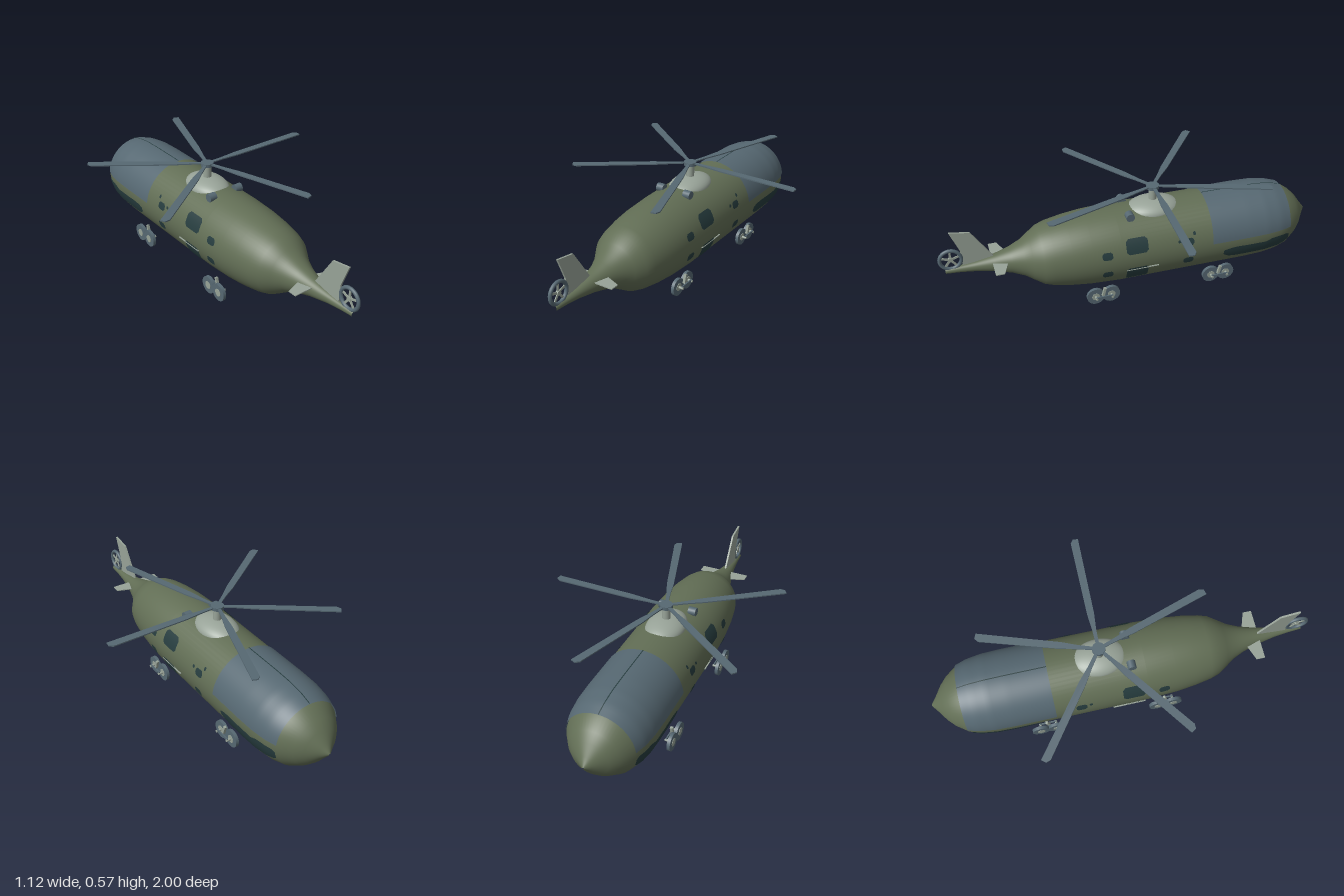
import * as THREE from 'three';

const mat = (name, color, side = THREE.FrontSide) =>
  Object.assign(new THREE.MeshStandardMaterial({ color, side }), { name });

// Fuselage profile: [z, radius] around the axis at height AXIS
const AXIS = 0.263;
const PROFILE = [
  [-1, 0.004], [-0.988, 0.02], [-0.97, 0.043], [-0.935, 0.093], [-0.9, 0.13], [-0.84, 0.173],
  [-0.78, 0.192], [-0.7, 0.203], [-0.6, 0.206], [0.1, 0.205], [0.25, 0.198], [0.35, 0.187],
  [0.44, 0.171], [0.49, 0.155], [0.54, 0.122], [0.58, 0.095], [0.64, 0.069], [0.72, 0.046],
  [0.82, 0.027], [0.9, 0.018], [0.97, 0.0135],
];

function radiusAt(z) {
  let i = 1;
  while (i < PROFILE.length - 1 && PROFILE[i][0] < z) i++;
  const [z0, r0] = PROFILE[i - 1], [z1, r1] = PROFILE[i];
  return r0 + (r1 - r0) * (z - z0) / (z1 - z0);
}

// Thin skin that follows the fuselage; angles(z) gives the start and end angle
function skin(z0, z1, columns, rows, offset, angles) {
  const pos = [], index = [];
  for (let i = 0; i <= columns; i++) {
    const z = z0 + (z1 - z0) * i / columns;
    const r = radiusAt(z) + offset;
    const [a0, a1] = angles(z, r);
    for (let j = 0; j <= rows; j++) {
      const a = a0 + (a1 - a0) * j / rows;
      pos.push(Math.cos(a) * r, AXIS + Math.sin(a) * r, z);
      if (i < columns && j < rows) {
        const k = i * (rows + 1) + j, n = k + rows + 1;
        index.push(k, k + 1, n, k + 1, n + 1, n);
      }
    }
  }
  const g = new THREE.BufferGeometry();
  g.setAttribute('position', new THREE.Float32BufferAttribute(pos, 3));
  g.setIndex(index);
  g.computeVertexNormals();
  return g;
}

// Side window from an outline of [z, bottom y, top y] stations
function windowSkin(stations, side) {
  const at = (z, k) => {
    let i = 1;
    while (i < stations.length - 1 && stations[i][0] < z) i++;
    const a = stations[i - 1], b = stations[i];
    return a[k] + (b[k] - a[k]) * (z - a[0]) / (b[0] - a[0]);
  };
  return skin(stations[0][0], stations.at(-1)[0], 24, 6, 0.004, (z, r) =>
    [1, 2].map((k) => {
      const a = Math.asin((at(z, k) - AXIS) / r);
      return side > 0 ? a : Math.PI - a;
    }));
}

// Pane with clipped corners
const pane = (z0, z1, y0, y1, c) =>
  [[z0, y0 + c, y1 - c], [z0 + c, y0, y1], [z1 - c, y0, y1], [z1, y0 + c, y1 - c]];

function plate(points, depth) {
  const shape = new THREE.Shape(points.map(([x, y]) => new THREE.Vector2(x, y)));
  return new THREE.ExtrudeGeometry(shape, { depth, bevelEnabled: false });
}

export function createModel() {
  const olive = mat('olive hull', 0x626e55);
  const slate = mat('slate metal', 0x566872);
  const slateSkin = mat('slate canopy', 0x566872, THREE.DoubleSide);
  const pale = mat('pale grey', 0x98a398);
  const glass = mat('dark glass', 0x263c3e, THREE.DoubleSide);

  const model = new THREE.Group();
  model.name = 'helicopter';
  const craft = new THREE.Group();
  craft.name = 'airframe';
  craft.position.x = -0.06;
  model.add(craft);

  const add = (name, geometry, material, x = 0, y = 0, z = 0, parent = craft) => {
    const m = new THREE.Mesh(geometry, material);
    m.name = name;
    m.position.set(x, y, z);
    parent.add(m);
    return m;
  };

  // Hull and canopy
  const hull = new THREE.LatheGeometry(PROFILE.map(([z, r]) => new THREE.Vector2(r, z)), 56);
  add('hull', hull.rotateX(Math.PI / 2), olive, 0, AXIS, 0);
  add('canopy', skin(-0.84, -0.385, 26, 40, 0.005, () => [0.1, Math.PI - 0.1]), slateSkin);
  add('canopySeam', skin(-0.84, -0.385, 26, 1, 0.008,
    () => [Math.PI / 2 - 0.012, Math.PI / 2 + 0.012]), glass);

  // Windows on both sides
  const windows = [
    pane(-0.035, 0.08, 0.31, 0.387, 0.014), pane(-0.035, 0.08, 0.14, 0.226, 0.01),
    pane(0.152, 0.206, 0.3, 0.34, 0.01), pane(0.152, 0.206, 0.187, 0.227, 0.01),
    pane(-0.28, -0.225, 0.303, 0.342, 0.01), pane(-0.28, -0.225, 0.188, 0.228, 0.01),
    pane(-0.292, -0.278, 0.352, 0.37, 0.004), pane(-0.212, -0.195, 0.325, 0.34, 0.004),
    [[-0.835, 0.2, 0.235], [-0.82, 0.185, 0.247], [-0.77, 0.172, 0.25], [-0.72, 0.17, 0.247],
      [-0.69, 0.168, 0.235], [-0.52, 0.17, 0.24], [-0.48, 0.178, 0.236], [-0.45, 0.2, 0.228]],
  ];
  for (const side of [1, -1]) {
    windows.forEach((w) => add('window', windowSkin(w, side), glass));
    add('doorRail', new THREE.BoxGeometry(0.008, 0.004, 0.17), pale, side * 0.202, 0.214, -0.005);
  }

  // Rotor fairing, mast and exhausts
  const dome = new THREE.SphereGeometry(1, 40, 20).scale(0.1, 0.055, 0.143);
  add('rotorFairing', dome, pale, 0, 0.44, -0.117);
  add('mast', new THREE.CylinderGeometry(0.021, 0.021, 0.09, 24), pale, 0, 0.515, -0.117);
  for (const side of [1, -1]) {
    const tube = new THREE.CylinderGeometry(0.022, 0.022, 0.04, 24).rotateZ(Math.PI / 2);
    add('exhaust', tube, slate, side * 0.081, 0.461, 0.03);
  }

  // Main rotor
  const rotor = new THREE.Group();
  rotor.name = 'mainRotor';
  rotor.position.set(0, 0.565, -0.117);
  craft.add(rotor);
  add('rotorHub', new THREE.CylinderGeometry(0.033, 0.033, 0.018, 24), slate, 0, -0.001, 0, rotor);
  const blade = plate([[0.02, -0.008], [0.1, -0.01], [0.19, -0.017], [0.59, -0.017],
    [0.61, -0.003], [0.608, 0.024], [0.19, 0.018], [0.1, 0.01], [0.02, 0.008]], 0.006);
  blade.rotateX(Math.PI / 2);
  for (let i = 0; i < 5; i++) {
    add('rotorBlade', blade, slate, 0, 0.005, 0, rotor).rotation.y = i * Math.PI * 2 / 5;
  }

  // Fin and tailplanes
  const fin = plate([[0.72, 0.3], [0.88, 0.27], [0.885, 0.375], [0.926, 0.487], [0.825, 0.47]], 0.01);
  add('fin', fin.rotateY(-Math.PI / 2), pale, 0.002);
  const tailplane = plate([[-0.135, 0.69], [-0.03, 0.652], [0.03, 0.652], [0.135, 0.69],
    [0.135, 0.735], [-0.135, 0.735]], 0.005);
  add('tailplane', tailplane.rotateX(Math.PI / 2), pale, 0, 0.286, 0);

  // Ringed tail rotor
  const fan = new THREE.Group();
  fan.name = 'tailRotor';
  fan.position.set(0, 0.327, 0.937);
  craft.add(fan);
  const ring = new THREE.TorusGeometry(0.054, 0.0095, 12, 40).rotateY(Math.PI / 2);
  add('tailRing', ring, slate, 0, 0, 0, fan);
  add('tailHub', new THREE.CylinderGeometry(0.012, 0.012, 0.014, 16).rotateZ(Math.PI / 2),
    pale, 0, 0, 0, fan);
  for (let i = 0; i < 5; i++) {
    const spoke = new THREE.BoxGeometry(0.005, 0.05, 0.011).translate(0, 0.025, 0);
    add('tailBlade', spoke, pale, 0, 0, 0, fan).rotation.x = i * Math.PI * 2 / 5;
  }

  // Four twin-wheel bogies
  const tyre = new THREE.CylinderGeometry(0.047, 0.047, 0.017, 32).rotateZ(Math.PI / 2);
  const cap = new THREE.CylinderGeometry(0.021, 0.021, 0.021, 20).rotateZ(Math.PI / 2);
  for (const x of [-0.253, 0.097]) {
    for (const z of [0.198, -0.443]) {
      const bogie = new THREE.Group();
      bogie.name = 'wheelBogie';
      bogie.position.set(x + 0.06, 0.048, z);
      craft.add(bogie);
      for (const dz of [-0.042, 0.042]) {
        add('wheel', tyre, slate, 0, 0, dz, bogie);
        add('wheelCap', cap, pale, 0, 0, dz, bogie);
        add('axle', new THREE.CylinderGeometry(0.007, 0.007, 0.036, 12).rotateZ(Math.PI / 2),
          pale, 0.018, 0, dz, bogie);
      }
      add('bogieBeam', new THREE.BoxGeometry(0.007, 0.014, 0.09), slate, 0.029, 0.004, 0, bogie);
      add('strut', new THREE.BoxGeometry(0.014, 0.05, 0.013), pale, 0.018, 0.032, 0, bogie)
        .rotation.x = -0.25;
    }
  }
  return model;
}
